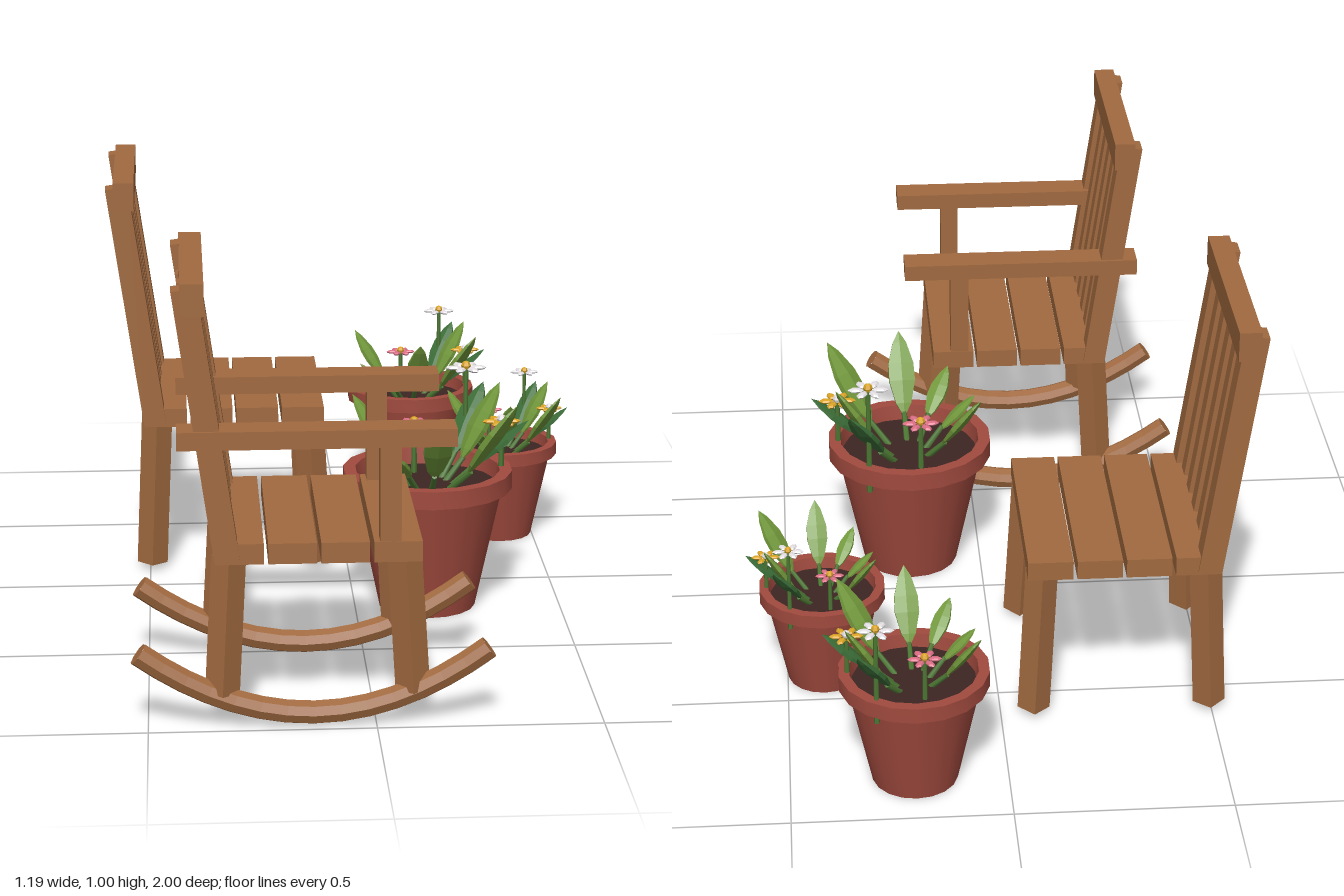
import * as THREE from 'three';
import { toCreasedNormals } from 'three/addons/utils/BufferGeometryUtils.js';

const paint = (color, flatShading = false) => new THREE.MeshStandardMaterial({ color, flatShading });
const WOOD = paint(0xa0693f, true), CLAY = paint(0xa04a3e), SOIL = paint(0x3d2622);
const LIGHT = paint(0x72993c, true), DARK = paint(0x3c6e38, true), STEM = paint(0x4f7a35);
const WHITE = paint(0xe6e2e6, true), PINK = paint(0xdc6f86, true), YELLOW = paint(0xdca526, true);
const V = (x, y, z) => new THREE.Vector3(x, y, z);
const UP = V(0, 1, 0);

function add(parent, name, geometry, material) {
  const mesh = new THREE.Mesh(geometry, material);
  mesh.name = name;
  parent.add(mesh);
  return mesh;
}

function box(parent, name, w, h, d, x, y, z) {
  const mesh = add(parent, name, new THREE.BoxGeometry(w, h, d), WOOD);
  mesh.position.set(x, y, z);
  return mesh;
}

// Aligns a mesh's y axis with the line from a to b and centres it there
function span(mesh, a, b) {
  mesh.position.copy(a).add(b).multiplyScalar(0.5);
  mesh.quaternion.setFromUnitVectors(UP, b.clone().sub(a).normalize());
  return mesh;
}

// A bar leaning back in the xy plane, from the seat to the top rail
function leaningBar(parent, name, thick, width, a, b) {
  const bar = add(parent, name, new THREE.BoxGeometry(thick, a.distanceTo(b), width), WOOD);
  return span(bar, a, b);
}

// Chair facing +x; its seat's rear edge is at x = 0
function createChair(name, legBottom) {
  const chair = new THREE.Group();
  chair.name = name;
  for (let i = 0; i < 4; i++) {
    box(chair, 'seatPlank', 0.105, 0.046, 0.508, 0.0525 + i * 0.1143, 0.401, 0);
  }
  for (const s of [-1, 1]) {
    leaningBar(chair, 'backPost', 0.055, 0.056, V(0.026, 0.385, s * 0.231), V(-0.06, 0.987, s * 0.231));
    // Square legs set corner-on and splayed outwards
    for (const [top, bottom] of [[0.03, 0.013], [0.412, 0.43]]) {
      const a = V(bottom, legBottom, s * 0.225), b = V(top, 0.385, s * 0.207);
      span(add(chair, 'leg', new THREE.CylinderGeometry(0.038, 0.038, a.distanceTo(b), 4), WOOD), a, b);
    }
  }
  for (let i = 0; i < 4; i++) {
    const z = (i - 1.5) * 0.0885;
    leaningBar(chair, 'backSlat', 0.045, 0.043, V(0.019, 0.437, z), V(-0.053, 0.94, z));
  }
  box(chair, 'topRail', 0.051, 0.07, 0.525, -0.043, 0.965, 0);
  return chair;
}

function createRockingChair() {
  const chair = createChair('rockingChair', 0.075);
  for (const s of [-1, 1]) {
    box(chair, 'armrest', 0.6, 0.04, 0.077, 0.22, 0.658, s * 0.228);
    box(chair, 'armPost', 0.046, 0.22, 0.046, 0.379, 0.532, s * 0.228);
    // Curved runner with closed ends
    const curve = new THREE.QuadraticBezierCurve3(
      V(-0.17, 0.17, s * 0.228), V(0.2135, -0.116, s * 0.228), V(0.597, 0.17, s * 0.228));
    add(chair, 'runner', new THREE.TubeGeometry(curve, 14, 0.027, 8), WOOD);
    for (const t of [0, 1]) {
      const cap = add(chair, 'runnerEnd', new THREE.CircleGeometry(0.027, 8), WOOD);
      cap.position.copy(curve.getPoint(t));
      cap.quaternion.setFromUnitVectors(V(0, 0, 1), curve.getTangent(t).multiplyScalar(t ? 1 : -1));
    }
  }
  return chair;
}

// Faceted pointed leaf, one unit long, flattened front to back
const leafShape = new THREE.LatheGeometry(
  [[0, 0], [0.1, 0.16], [0.17, 0.42], [0.165, 0.62], [0.09, 0.86], [0, 1]].map(([x, y]) => new THREE.Vector2(x, y)), 6);
leafShape.scale(1, 1, 0.35);

function addLeaf(plant, tip, material) {
  const root = V(tip.x * 0.2, 0.29, tip.z * 0.2);
  const base = V(tip.x * 0.45, 0.345, tip.z * 0.45);
  const dir = tip.clone().sub(base), length = dir.length();
  dir.normalize();
  const side = dir.clone().cross(UP).normalize();
  const leaf = add(plant, 'leaf', leafShape, material);
  leaf.quaternion.setFromRotationMatrix(new THREE.Matrix4().makeBasis(side, dir, side.clone().cross(dir)));
  leaf.position.copy(base);
  leaf.scale.setScalar(length);
  span(add(plant, 'leafStalk', new THREE.CylinderGeometry(0.007, 0.009, root.distanceTo(base) + 0.03, 5), STEM), root, base);
}

function addFlower(plant, x, y, z, radius, material) {
  const flower = new THREE.Group();
  flower.name = 'flower';
  flower.position.set(x, y, z);
  plant.add(flower);
  const height = y - 0.27;
  add(flower, 'flowerStem', new THREE.CylinderGeometry(0.006, 0.008, height, 5), STEM).position.y = -height / 2;
  add(flower, 'flowerCentre', new THREE.SphereGeometry(0.012, 6, 4), material === YELLOW ? WHITE : YELLOW).position.y = 0.006;
  for (let i = 0; i < 6; i++) {
    const a = (i * Math.PI) / 3;
    const petal = add(flower, 'petal', new THREE.SphereGeometry(1, 6, 4), material);
    petal.scale.set(radius * 0.42, 0.006, radius * 0.23);
    petal.position.set(Math.cos(a) * radius * 0.6, 0, Math.sin(a) * radius * 0.6);
    petal.rotation.y = -a;
  }
}

function createPottedPlant() {
  const plant = new THREE.Group();
  plant.name = 'pottedPlant';
  // Tapered pot with a thick rim, closed below
  const profile = [[0, 0], [0.118, 0], [0.182, 0.3], [0.206, 0.3], [0.206, 0.344], [0.176, 0.344], [0.168, 0.29]];
  const pot = new THREE.LatheGeometry(profile.map(([x, y]) => new THREE.Vector2(x, y)), 18);
  add(plant, 'pot', toCreasedNormals(pot, 0.6), CLAY);
  const soil = add(plant, 'soil', new THREE.CircleGeometry(0.172, 18), SOIL);
  soil.rotation.x = -Math.PI / 2;
  soil.position.y = 0.305;

  // Leaf tips around the pot
  const leaves = [
    [-0.175, 0.5, -0.12, LIGHT], [-0.17, 0.43, 0.05, LIGHT], [-0.11, 0.44, 0.2, LIGHT],
    [0.015, 0.53, 0.23, LIGHT], [0.2, 0.54, 0.155, LIGHT], [0.245, 0.46, 0, DARK],
    [0.185, 0.53, -0.1, LIGHT], [0.155, 0.505, -0.2, DARK],
  ];
  for (const [x, y, z, material] of leaves) addLeaf(plant, V(x, y, z), material);
  addFlower(plant, 0.106, 0.555, -0.147, 0.05, WHITE);
  addFlower(plant, 0.18, 0.456, -0.008, 0.046, YELLOW);
  addFlower(plant, -0.025, 0.43, -0.095, 0.046, PINK);
  return plant;
}

export function createModel() {
  const model = new THREE.Group();
  model.name = 'patioSet';

  const rocking = createRockingChair();
  rocking.position.set(-0.35, 0, 0.737);
  const plain = createChair('chair', 0.015);
  plain.position.set(-0.508, 0, -0.363);
  model.add(rocking, plain);

  // The same plant at three sizes: x, z, scale
  for (const [x, z, scale] of [[0.177, 0.172, 1], [0.412, -0.385, 0.73], [0.214, -0.826, 0.835]]) {
    const plant = createPottedPlant();
    plant.position.set(x, 0, z);
    plant.scale.setScalar(scale);
    model.add(plant);
  }
  return model;
}
